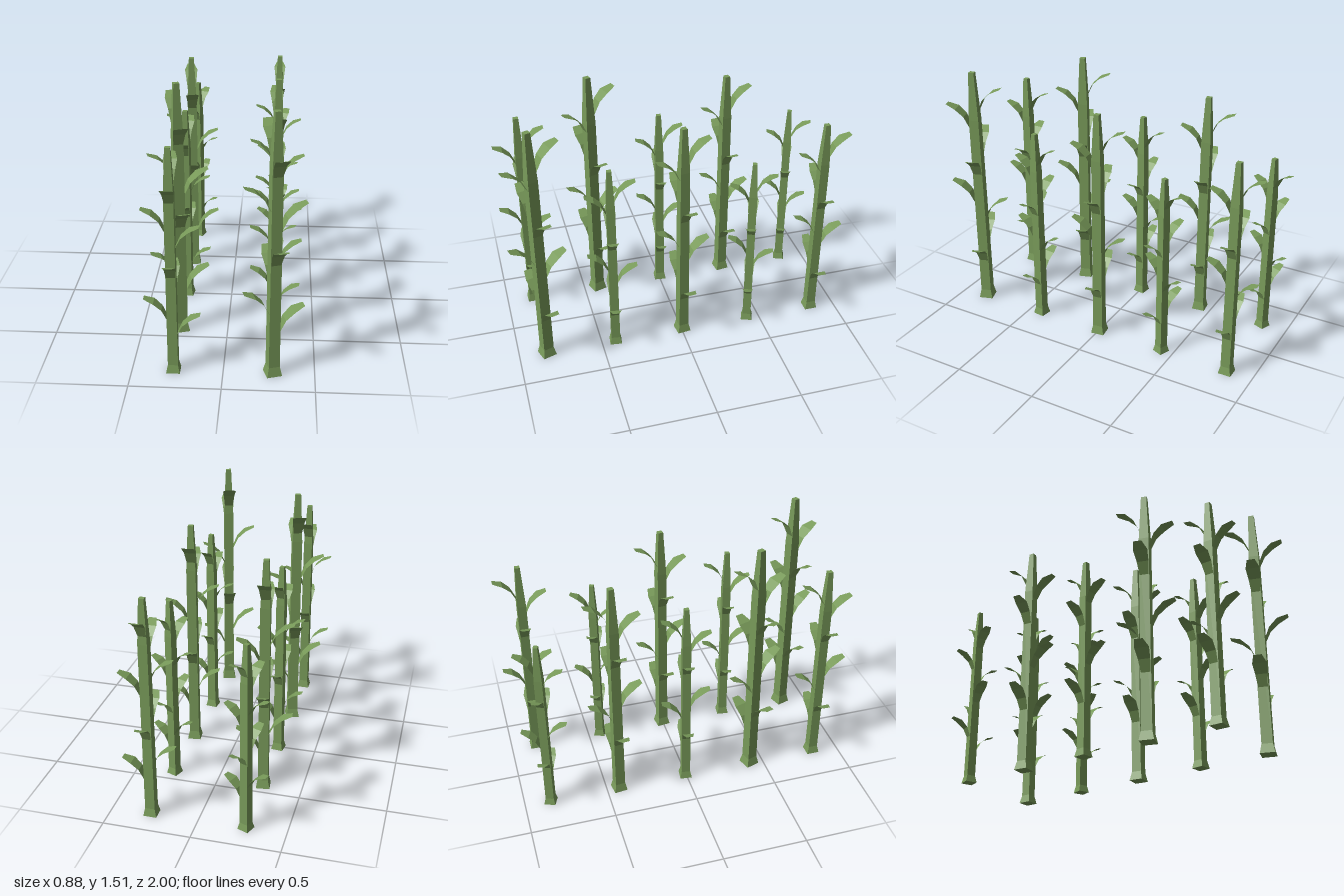
import * as THREE from 'three';

const green = new THREE.MeshStandardMaterial({ color: 0x789a59, flatShading: true, side: THREE.DoubleSide });
green.name = 'stalk green';

const FULL = 1.51; // height of the tallest stalk

// Square stalk: flared foot, straight shaft, tapered top
function stalkGeometry() {
  const profile = [[0, 0], [0.042, 0], [0.031, 0.055], [0.029, 1.22], [0.016, FULL], [0, FULL]];
  const points = profile.map(([r, y]) => new THREE.Vector2(r * Math.SQRT2, y));
  return new THREE.LatheGeometry(points, 4, Math.PI / 4).toNonIndexed();
}

// Leaf arching out along +z, its tip at y = 0
function leafGeometry() {
  // distance out, height, half width
  const rows = [[0.168, 0, 0.023], [0.108, -0.024, 0.041], [0.06, -0.07, 0.034], [0.024, -0.15, 0.025]];
  const geo = new THREE.PlaneGeometry(2, 1, 1, rows.length - 1);
  const pos = geo.attributes.position;
  for (let i = 0; i < pos.count; i++) {
    const [out, y, half] = rows[Math.floor(i / 2)];
    pos.setXYZ(i, -pos.getX(i) * half, y, out);
  }
  geo.computeVertexNormals();
  return geo;
}

// Leaf tips: height and quarter turn from the front (0 front, 1 left, 2 back, 3 right)
const leaves = [
  [1.42, 2], [1.31, 0], [1.12, 3], [1.01, 1],
  [0.815, 0], [0.71, 2], [0.52, 3], [0.41, 1],
];

export function createModel() {
  const model = new THREE.Group();
  model.name = 'cropRows';
  const stalkGeo = stalkGeometry();
  const leafGeo = leafGeometry();

  function plant(height, turn) {
    const group = new THREE.Group();
    group.name = 'plant';
    const stalk = new THREE.Mesh(stalkGeo, green);
    stalk.name = 'stalk';
    group.add(stalk);
    for (const [y, quarter] of leaves) {
      const leaf = new THREE.Mesh(leafGeo, green);
      leaf.name = 'leaf';
      leaf.position.y = y;
      leaf.rotation.y = quarter * Math.PI / 2;
      group.add(leaf);
    }
    const width = 0.8 + (height - 1.12) / 0.39 * 0.2;
    group.scale.set(width, height / FULL, width);
    group.rotation.y = THREE.MathUtils.degToRad(turn);
    return group;
  }

  // Five plant sizes with their turns, repeated along both rows
  const kinds = [[1.51, 18], [1.21, -7], [1.41, 7], [1.12, -22], [1.31, 0]];
  for (const [x, shift] of [[0.27, 0], [-0.272, 4]]) {
    for (let i = 0; i < 5; i++) {
      const p = plant(...kinds[(i + shift) % 5]);
      p.position.set(x, 0, 0.835 - i * 0.42);
      model.add(p);
    }
  }
  return model;
}
